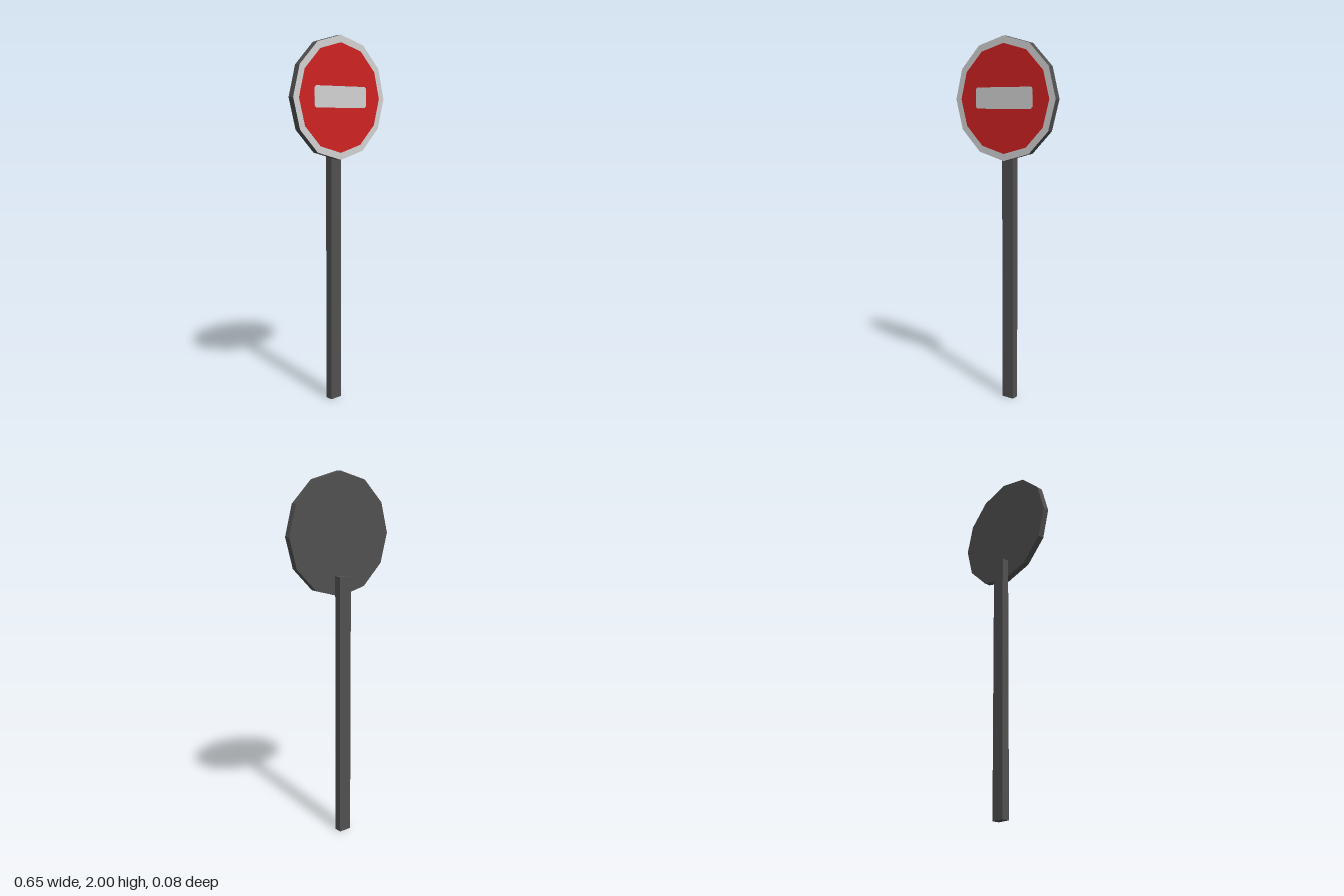
import * as THREE from 'three';

const DISC_Y = 1.674;

// Twelve-sided disc facing +z, with a corner at the top and flat-shaded sides
function disc(radius, zBack, zFront) {
  const g = new THREE.CylinderGeometry(radius, radius, zFront - zBack, 12)
    .rotateX(Math.PI / 2)
    .translate(0, DISC_Y, (zBack + zFront) / 2)
    .toNonIndexed();
  g.computeVertexNormals();
  return g;
}

// Rectangle with clipped corners
function clippedBar(w, h, c) {
  const x = w / 2, y = h / 2;
  return new THREE.Shape([
    [-x + c, -y], [x - c, -y], [x, -y + c], [x, y - c],
    [x - c, y], [-x + c, y], [-x, y - c], [-x, -y + c],
  ].map(([px, py]) => new THREE.Vector2(px, py)));
}

export function createModel() {
  const model = new THREE.Group();
  model.name = 'roadSign';

  const material = (name, color) => {
    const m = new THREE.MeshStandardMaterial({ color });
    m.name = name;
    return m;
  };
  const darkMetal = material('dark grey metal', 0x505050);
  const white = material('off white', 0xd2d2d2);
  const red = material('sign red', 0xd02222);

  const add = (name, geometry, mat) => {
    const mesh = new THREE.Mesh(geometry, mat);
    mesh.name = name;
    model.add(mesh);
  };

  // Square post behind the disc
  add('post', new THREE.BoxGeometry(0.073, 1.458, 0.042).translate(0, 0.729, -0.019), darkMetal);

  // Dark disc body whose front cap forms the white border
  add('signDisc', disc(0.326, 0.002, 0.038), [darkMetal, white, darkMetal]);

  // Thin painted layers
  add('redField', disc(0.288, 0.038, 0.039), red);
  const bar = new THREE.ExtrudeGeometry(clippedBar(0.37, 0.113, 0.01), { depth: 0.001, bevelEnabled: false });
  add('whiteBar', bar.translate(0, 1.68, 0.039), white);

  return model;
}
